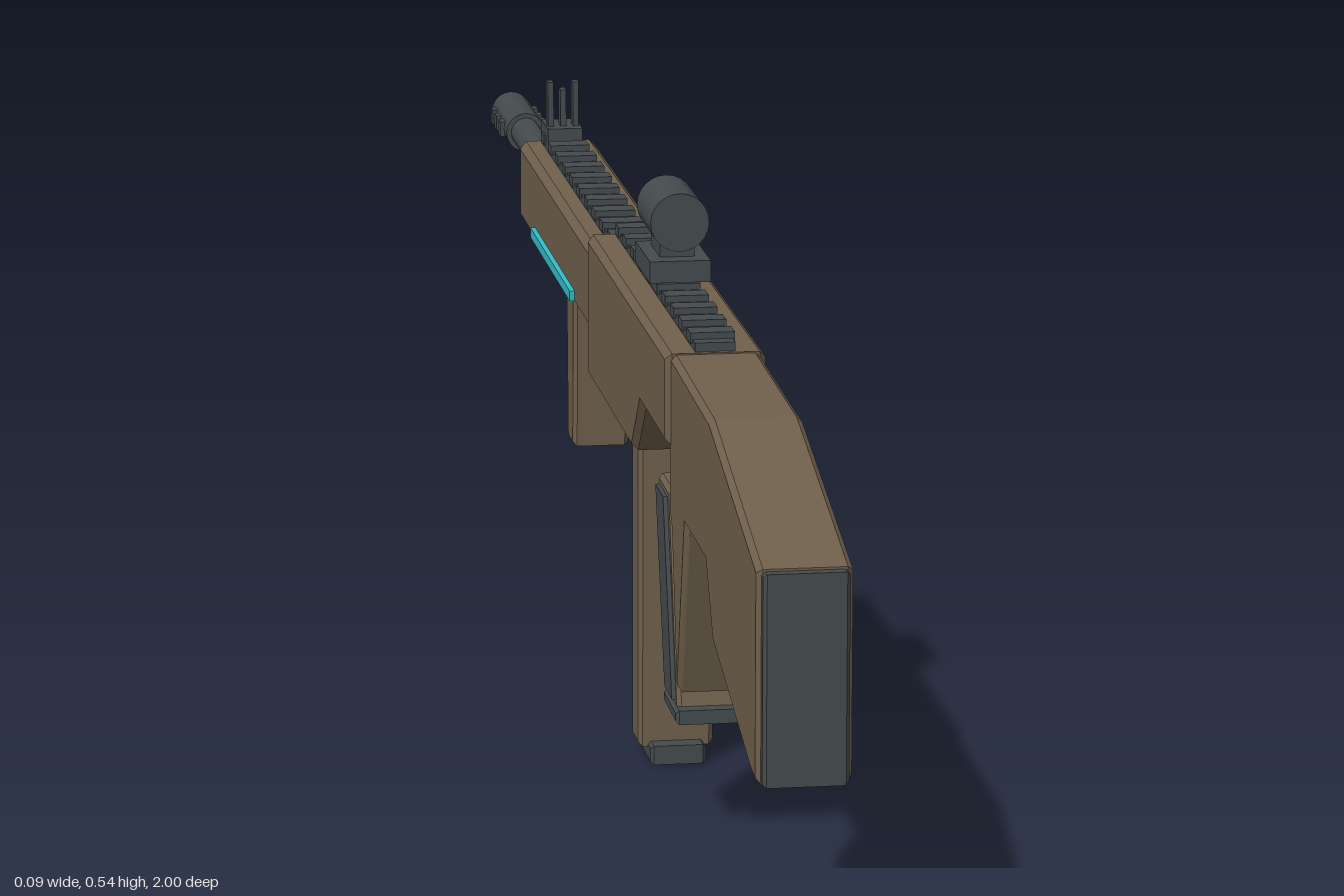
import * as THREE from 'three';

const mat = (name, color, extra = {}) => {
  const m = new THREE.MeshStandardMaterial({ color, ...extra });
  m.name = name;
  return m;
};

export function createModel() {
  const model = new THREE.Group();
  const brown = mat('earth brown', 0x6f604c);
  const dark = mat('gunmetal', 0x454b4d);
  const cyan = mat('cyan', 0x35bcc6);

  const add = (name, geo, material, x = 0, y = 0, z = 0, parent = model) => {
    const mesh = new THREE.Mesh(geo, material);
    mesh.name = name;
    mesh.position.set(x, y, z);
    parent.add(mesh);
    return mesh;
  };
  const group = (name) => {
    const g = new THREE.Group();
    g.name = name;
    model.add(g);
    return g;
  };
  // Box given by its z and y ranges, centred on x
  const box = (name, w, y0, y1, z0, z1, material, parent = model, x = 0) =>
    add(name, new THREE.BoxGeometry(w, y1 - y0, z1 - z0), material, x, (y0 + y1) / 2, (z0 + z1) / 2, parent);
  // Side profile of [z, y] points, extruded across x with a chamfer
  const slab = (pts, w, bevel = 0) => {
    const shape = new THREE.Shape(pts.map(([z, y]) => new THREE.Vector2(z, y)));
    const geo = new THREE.ExtrudeGeometry(shape, {
      depth: w - 2 * bevel, bevelEnabled: bevel > 0, bevelThickness: bevel,
      bevelSize: bevel, bevelOffset: -bevel, bevelSegments: 1,
    });
    return geo.translate(0, 0, -(w - 2 * bevel) / 2).rotateY(-Math.PI / 2);
  };
  // Cylinder lying along z
  const rod = (name, r, y, z0, z1, parent = model, sides = 20) =>
    add(name, new THREE.CylinderGeometry(r, r, z1 - z0, sides).rotateX(Math.PI / 2), dark, 0, y, (z0 + z1) / 2, parent);

  // Stock with the pointed fin below it
  add('stock', slab([
    [0.99, 0.372], [0.73, 0.436], [0.495, 0.442], [0.495, 0.30], [0.508, 0.285], [0.543, 0.145],
    [0.59, 0.307], [0.71, 0.307], [0.75, 0.247], [0.96, 0.193], [0.99, 0.19],
  ], 0.08, 0.005), brown);
  add('buttPad', slab([[0.98, 0.19], [1, 0.19], [1, 0.37], [0.98, 0.37]], 0.072, 0.003), dark);

  // Receiver, stepped up at the trigger
  add('receiver', slab([
    [0.505, 0.443], [-0.02, 0.443], [-0.02, 0.305], [0.29, 0.305], [0.345, 0.36], [0.505, 0.36],
  ], 0.09, 0.006), brown);

  // Handguard and its light strips
  add('handguard', slab([[-0.01, 0.425], [-0.595, 0.425], [-0.595, 0.343], [-0.01, 0.343]], 0.08, 0.007), brown);
  for (const s of [1, -1]) {
    box('lightStrip', 0.008, 0.35, 0.36, -0.463, -0.152, cyan, model, s * 0.041);
  }

  // Toothed top rails
  const rail = (name, y, z0, z1, count) => {
    const g = group(name);
    box('railBase', 0.036, y - 0.004, y + 0.008, z0, z1, dark, g);
    const pitch = (z1 - z0) / count;
    for (let i = 0; i < count; i++) {
      const zc = z0 + pitch * (i + 0.5);
      box('railTooth', 0.04, y + 0.004, y + 0.014, zc - pitch * 0.22, zc + pitch * 0.22, dark, g);
    }
  };
  rail('receiverRail', 0.443, -0.018, 0.5, 10);
  rail('handguardRail', 0.425, -0.59, -0.022, 10);

  // Optic on its mount
  const optic = group('optic');
  box('opticClamp', 0.04, 0.448, 0.462, 0.21, 0.268, dark, optic);
  box('opticBase', 0.056, 0.46, 0.48, 0.193, 0.288, dark, optic);
  box('opticStem', 0.032, 0.478, 0.5, 0.21, 0.268, dark, optic);
  rod('opticTube', 0.027, 0.515, 0.195, 0.285, optic, 24);

  // Front sight: base, centre post and two ears
  const sight = group('frontSight');
  box('sightBase', 0.036, 0.43, 0.449, -0.588, -0.532, dark, sight);
  for (const x of [-0.013, 0, 0.013]) {
    box('sightPost', 0.006, 0.445, x ? 0.495 : 0.487, -0.562, -0.547, dark, sight, x);
  }

  // Barrel and ribbed muzzle brake
  rod('barrel', 0.016, 0.382, -0.87, -0.58);
  const muzzle = group('muzzleBrake');
  rod('muzzleBody', 0.021, 0.382, -1, -0.867, muzzle);
  for (const z of [-0.9, -0.935, -0.97]) {
    for (const s of [1, -1]) box('muzzlePort', 0.008, 0.374, 0.39, z - 0.009, z + 0.009, dark, muzzle, s * 0.021);
  }

  // Tapered foregrip
  add('foregrip', slab([[-0.25, 0.35], [-0.31, 0.35], [-0.3, 0.178], [-0.258, 0.178]], 0.056, 0.004), brown);

  // Magazine and foot
  add('magazine', slab([[0.263, 0.32], [0.22, 0.32], [0.22, 0.015], [0.263, 0.015]], 0.07, 0.004), brown);
  add('magazineFoot', slab([[0.281, 0.002], [0.281, 0.02], [0.2, 0.02], [0.2, 0]], 0.052, 0.003), dark);

  // Raked pistol grip with side panels and foot
  const grip = group('pistolGrip');
  add('gripCore', slab([[0.44, 0.303], [0.372, 0.303], [0.436, 0.113], [0.492, 0.113]], 0.064, 0.004), brown, 0, 0, 0, grip);
  for (const s of [1, -1]) {
    add('gripPanel', slab([[0.428, 0.295], [0.38, 0.295], [0.438, 0.122], [0.484, 0.122]], 0.006), dark, s * 0.033, 0, 0, grip);
  }
  add('gripFoot', slab([[0.505, 0.104], [0.505, 0.117], [0.427, 0.117], [0.427, 0.104]], 0.07, 0.003), dark, 0, 0, 0, grip);

  // Trigger and guard
  const curve = new THREE.QuadraticBezierCurve3(
    new THREE.Vector3(0, 0.318, 0.32), new THREE.Vector3(0, 0.29, 0.296), new THREE.Vector3(0, 0.255, 0.291));
  add('trigger', new THREE.TubeGeometry(curve, 8, 0.005, 8), dark);
  box('triggerGuard', 0.022, 0.229, 0.237, 0.255, 0.378, brown);

  return model;
}
